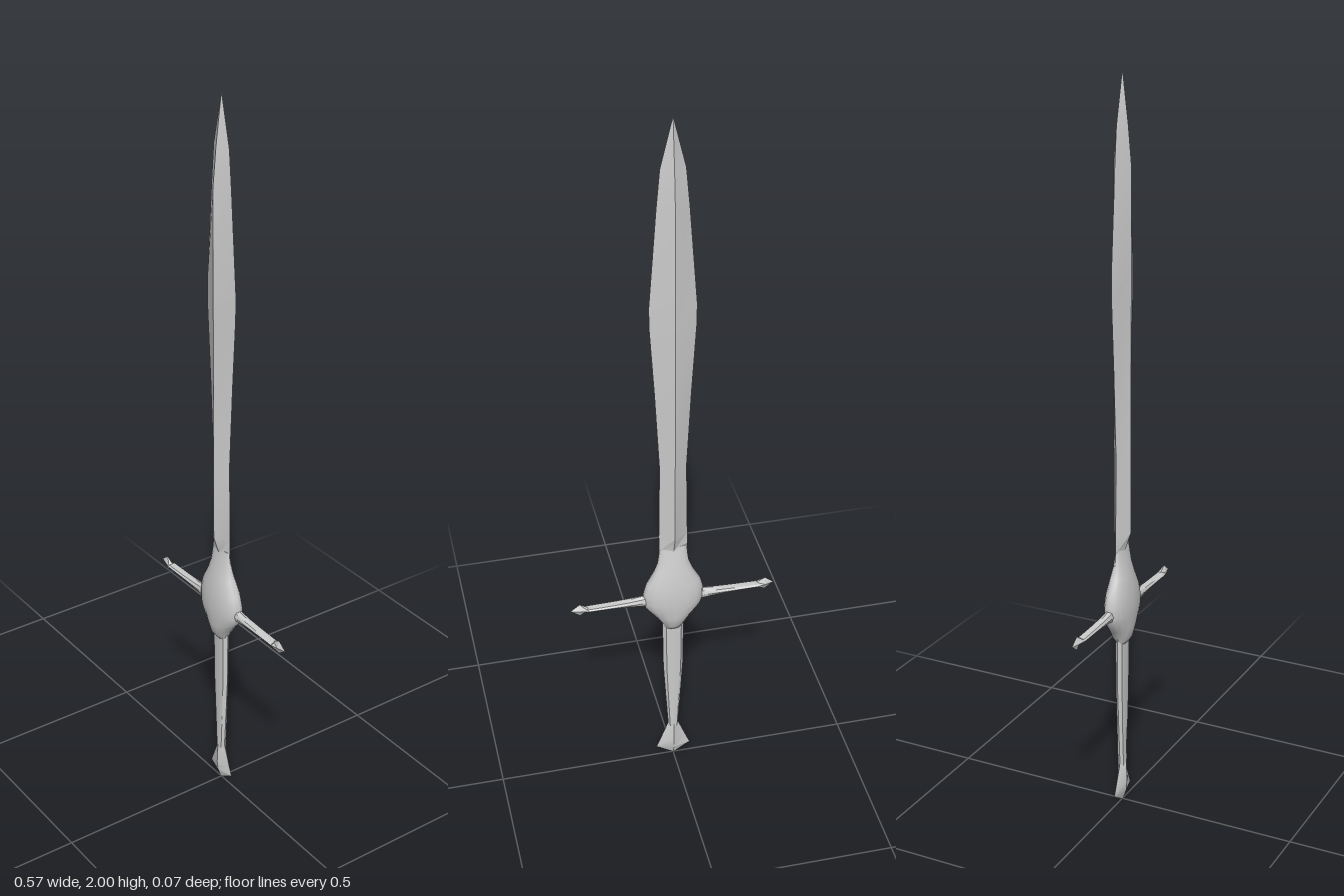
import * as THREE from 'three';
import { toCreasedNormals } from 'three/addons/utils/BufferGeometryUtils.js';

const material = new THREE.MeshStandardMaterial({ color: 0xcccccc });

// Lofts rings of [height, half width, half depth] along y.
// A power of 1 gives an ellipse outline, higher values pinch it towards its side edges.
function loft(name, sections, sides, crease, power = 1) {
  const positions = [], indices = [];
  for (const [y, w, d] of sections) {
    for (let i = 0; i < sides; i++) {
      const a = (i / sides) * Math.PI * 2;
      const s = Math.sin(a);
      positions.push(Math.cos(a) * w, y, Math.sign(s) * Math.abs(s) ** power * d);
    }
  }
  const rows = sections.length;
  for (let r = 0; r < rows - 1; r++) {
    for (let i = 0; i < sides; i++) {
      const a = r * sides + i, b = r * sides + (i + 1) % sides;
      indices.push(a, a + sides, b, b, a + sides, b + sides);
    }
  }
  // End caps
  const top = (rows - 1) * sides;
  for (let i = 1; i < sides - 1; i++) {
    indices.push(0, i, i + 1, top, top + i + 1, top + i);
  }
  const geometry = new THREE.BufferGeometry();
  geometry.setAttribute('position', new THREE.Float32BufferAttribute(positions, 3));
  geometry.setIndex(indices);
  const mesh = new THREE.Mesh(toCreasedNormals(geometry, crease), material);
  mesh.name = name;
  return mesh;
}

export function createModel() {
  const model = new THREE.Group();
  model.name = 'sword';

  // Leaf-shaped blade with a central ridge on both faces
  model.add(loft('blade', [
    [0.70, 0.04, 0.008], [0.75, 0.039, 0.009], [0.80, 0.039, 0.025], [1.02, 0.036, 0.025],
    [1.25, 0.048, 0.025], [1.44, 0.06, 0.025], [1.50, 0.061, 0.025], [1.77, 0.041, 0.025],
    [1.87, 0.032, 0.016], [2.0, 0.0005, 0.0005],
  ], 4, 0.4));

  // Rounded boss where blade, guard and grip meet
  model.add(loft('boss', [
    [0.48, 0.024, 0.012], [0.50, 0.03, 0.027], [0.53, 0.052, 0.032], [0.56, 0.077, 0.034],
    [0.58, 0.084, 0.035], [0.61, 0.084, 0.034], [0.64, 0.076, 0.031], [0.68, 0.054, 0.024],
    [0.71, 0.043, 0.017], [0.76, 0.036, 0.006],
  ], 16, 1.0));

  // Tapered grip
  model.add(loft('grip', [
    [0.11, 0.014, 0.012], [0.22, 0.021, 0.012], [0.34, 0.028, 0.013], [0.50, 0.03, 0.014],
  ], 8, 0.6));

  // Flared pommel with a shallow point
  model.add(loft('pommel', [
    [0, 0.002, 0.002], [0.03, 0.049, 0.012], [0.06, 0.037, 0.015], [0.12, 0.014, 0.012],
  ], 4, 0.4));

  // Guard arms, each ending in a flat diamond
  for (const side of [-1, 1]) {
    const arm = new THREE.Group();
    arm.name = side > 0 ? 'leftGuard' : 'rightGuard';
    arm.add(loft('guardArm', [
      [0.05, 0.022, 0.014], [0.085, 0.016, 0.013], [0.12, 0.011, 0.013],
      [0.165, 0.008, 0.013], [0.24, 0.006, 0.013],
    ], 8, 0.6));
    arm.add(loft('guardTip', [
      [0.234, 0.005, 0.013], [0.259, 0.019, 0.008], [0.283, 0.001, 0.001],
    ], 4, 0.4));
    arm.rotation.z = -side * Math.PI / 2;
    arm.position.y = 0.586;
    model.add(arm);
  }
  return model;
}
